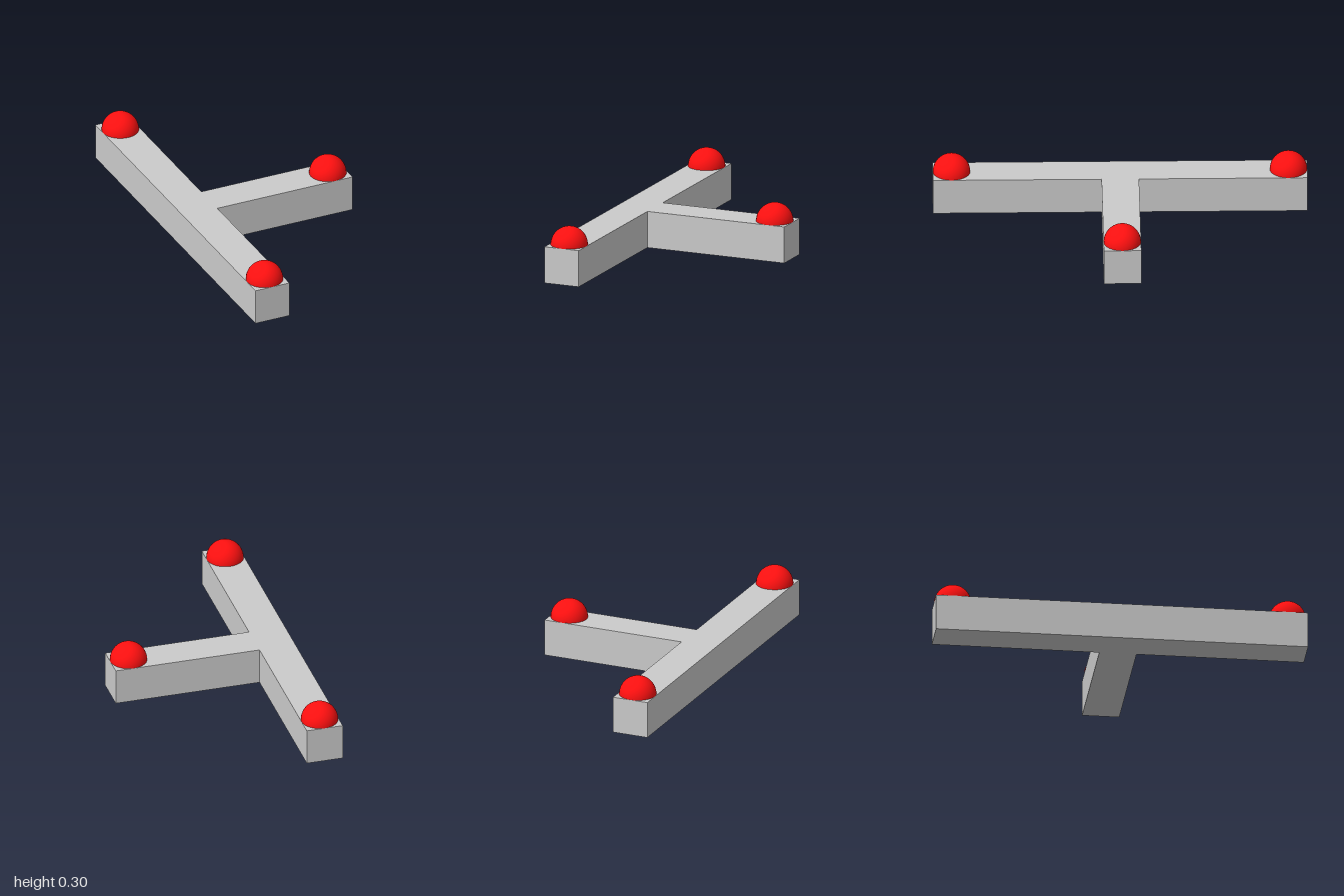
import * as THREE from 'three';

const HEIGHT = 0.2;
const RADIUS = 0.1;

export function createModel() {
  const model = new THREE.Group();
  model.name = 'tBarWithDomes';

  const grey = new THREE.MeshStandardMaterial({ color: 0xcccccc });
  const red = new THREE.MeshStandardMaterial({ color: 0xff1010 });

  // T-shaped base: long bar along z with one arm towards +x
  const outline = new THREE.Shape([
    [-0.5, -1], [-0.3, -1], [-0.3, -0.1], [0.5, -0.1],
    [0.5, 0.1], [-0.3, 0.1], [-0.3, 1], [-0.5, 1],
  ].map(([x, y]) => new THREE.Vector2(x, y)));
  const baseGeometry = new THREE.ExtrudeGeometry(outline, { depth: HEIGHT, bevelEnabled: false });
  baseGeometry.rotateX(-Math.PI / 2);
  const base = new THREE.Mesh(baseGeometry, grey);
  base.name = 'tBase';
  model.add(base);

  // Smooth half-sphere on each of the three ends
  const domeGeometry = new THREE.SphereGeometry(RADIUS, 32, 16, 0, Math.PI * 2, 0, Math.PI / 2);
  const ends = [['frontDome', -0.4, 0.9], ['backDome', -0.4, -0.9], ['armDome', 0.4, 0]];
  for (const [name, x, z] of ends) {
    const dome = new THREE.Mesh(domeGeometry, red);
    dome.name = name;
    dome.position.set(x, HEIGHT, z);
    model.add(dome);
  }

  return model;
}
